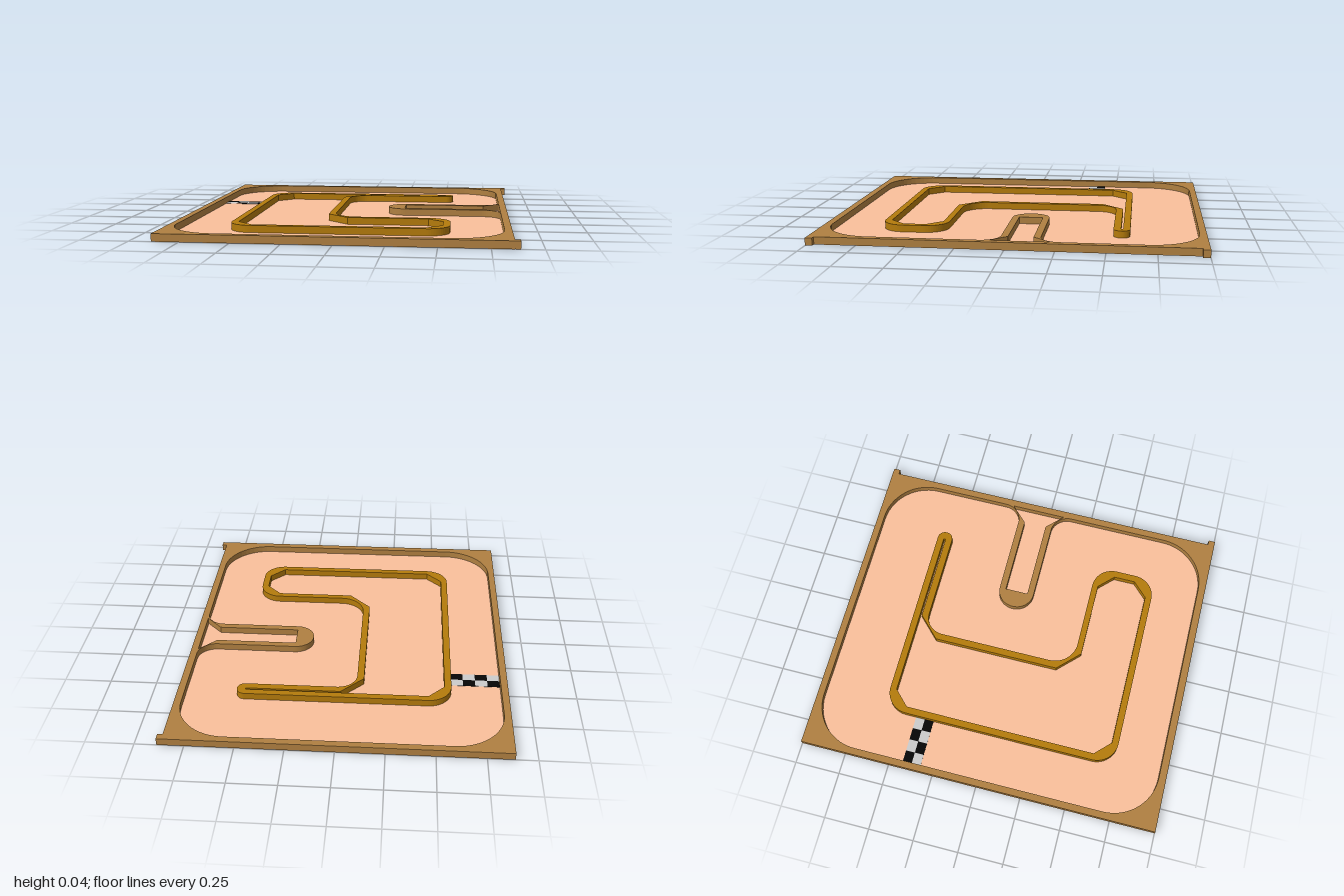
import * as THREE from 'three';

const material = (color) => new THREE.MeshStandardMaterial({ color });

// Turns [x, z, radius] corners into outline points, rounding the right-angled ones.
function outline(corners, steps = 14) {
  const points = [];
  corners.forEach(([x, z, r = 0], i) => {
    const p = new THREE.Vector2(x, -z);
    if (!r) return points.push(p);
    const toward = (c) => new THREE.Vector2(c[0], -c[1]).sub(p).normalize();
    const prev = toward(corners[(i + corners.length - 1) % corners.length]);
    const next = toward(corners[(i + 1) % corners.length]);
    const centre = p.clone().addScaledVector(prev, r).addScaledVector(next, r);
    for (let s = 0; s <= steps; s++) {
      const t = (s / steps) * Math.PI / 2;
      points.push(centre.clone()
        .addScaledVector(next, -r * Math.cos(t))
        .addScaledVector(prev, -r * Math.sin(t)));
    }
  });
  return points;
}

// Stands a wall up from its plan: an outer outline with holes wound the other way.
function wall(name, outer, holes, bottom, top, mat) {
  const shape = new THREE.Shape(outline(outer).reverse());
  for (const hole of holes) shape.holes.push(new THREE.Path(outline(hole)));
  const geometry = new THREE.ExtrudeGeometry(shape, { depth: top - bottom, bevelEnabled: false });
  geometry.rotateX(-Math.PI / 2).translate(0, bottom, 0);
  const mesh = new THREE.Mesh(geometry, mat);
  mesh.name = name;
  return mesh;
}

function slab(name, x0, x1, z0, z1, y0, y1, mat) {
  const mesh = new THREE.Mesh(new THREE.BoxGeometry(x1 - x0, y1 - y0, z1 - z0), mat);
  mesh.position.set((x0 + x1) / 2, (y0 + y1) / 2, (z0 + z1) / 2);
  mesh.name = name;
  return mesh;
}

export function createModel() {
  const model = new THREE.Group();
  model.name = 'raceTrack';
  const floorTop = 0.003, wallBase = 0.0006, wallTop = 0.04;

  // Track floor
  model.add(slab('floor', -0.886, 0.859, -0.999, 0.999, 0, floorTop, material(0xfbc09b)));

  // Outer wall: end strips overhang on the +x side, a hairpin juts inward
  const frame = [
    [-0.887, -1], [0.887, -1], [0.887, -0.963], [0.86, -0.963],
    [0.86, 0.963], [0.887, 0.963], [0.887, 1], [-0.887, 1],
  ];
  const track = [
    [-0.85, -0.963, 0.26], [0.822, -0.963, 0.26],
    [0.822, -0.17, 0.1], [0.185, -0.17, 0.1], [0.185, 0.033, 0.1], [0.822, 0.033, 0.1],
    [0.822, 0.96, 0.26], [-0.85, 0.96, 0.26],
  ];
  const hairpinPocket = [
    [0.283, -0.133], [0.73, -0.133], [0.822, -0.225],
    [0.822, 0.085], [0.733, -0.004], [0.283, -0.004],
  ];
  model.add(wall('outerWall', frame, [track, hairpinPocket], wallBase, wallTop, material(0xb08041)));

  // Inner wall: rounded outside, chamfered inside
  const islandOuter = [
    [-0.587, -0.612, 0.125], [0.549, -0.612, 0.042], [0.549, -0.525, 0.042],
    [-0.083, -0.525, 0.105], [-0.083, 0.353, 0.135],
    [0.552, 0.353, 0.12], [0.552, 0.706, 0.12], [-0.587, 0.706, 0.125],
  ];
  const islandInner = [
    [-0.55, -0.49], [-0.465, -0.575], [0.503, -0.575], [0.503, -0.564], [0, -0.564],
    [-0.12, -0.444], [-0.12, 0.267], [0, 0.387], [0.433, 0.387],
    [0.514, 0.468], [0.514, 0.588], [0.433, 0.669], [-0.465, 0.669], [-0.55, 0.584],
  ];
  model.add(wall('innerWall', islandOuter, [islandInner], wallBase, wallTop, material(0xb47b0c)));

  // Chequered start line
  const startLine = new THREE.Group();
  startLine.name = 'startLine';
  const dark = material(0x060606), light = material(0xcccccc);
  const left = -0.85, back = -0.428, w = 0.0658, d = 0.051;
  for (let row = 0; row < 2; row++) {
    for (let col = 0; col < 4; col++) {
      const x = left + col * w, z = back + row * d;
      startLine.add(slab('startLineSquare', x, x + w, z, z + d, floorTop, floorTop + 0.002,
        (row + col) % 2 ? light : dark));
    }
  }
  model.add(startLine);
  return model;
}
